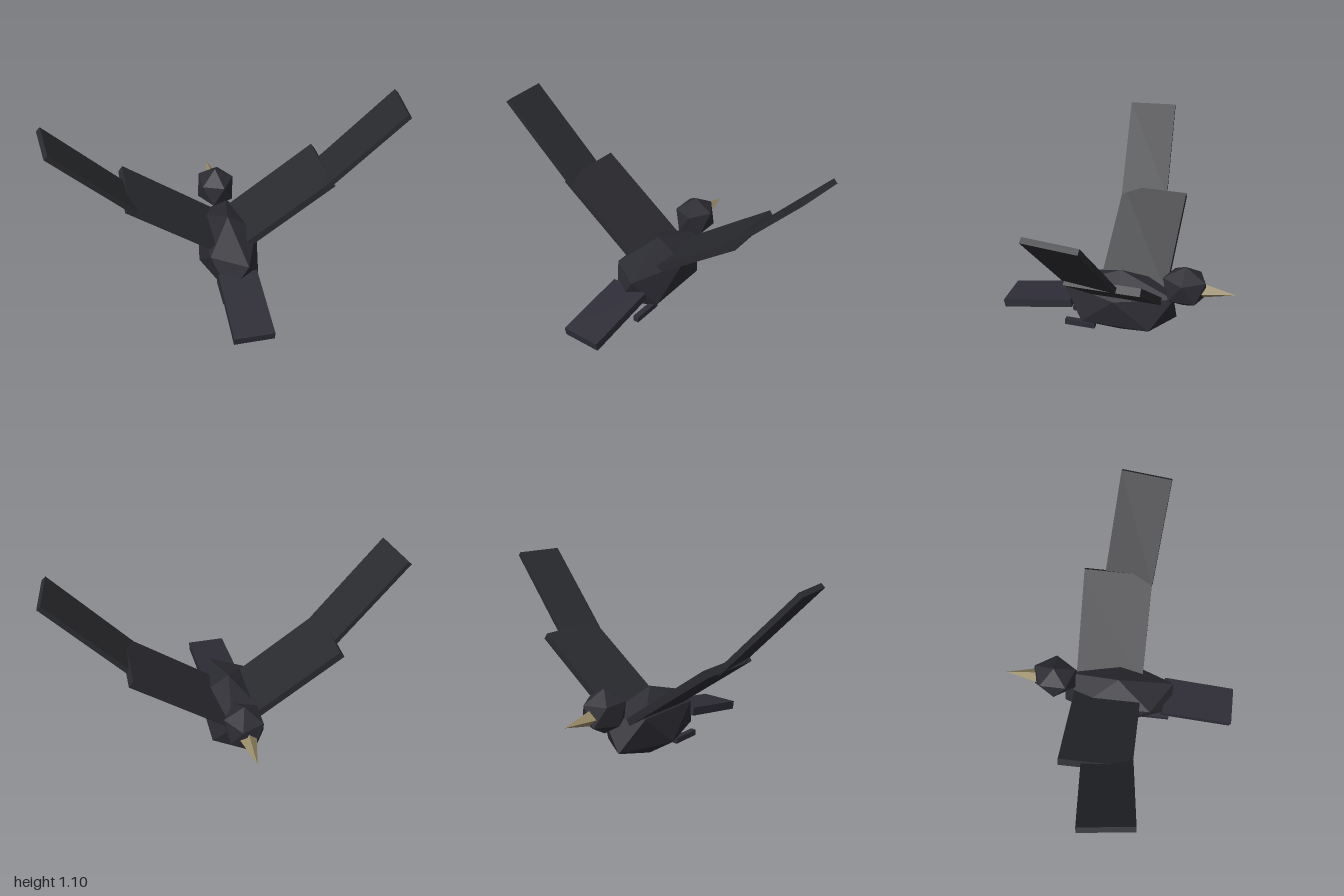
import * as THREE from 'three';
import { ConvexGeometry } from 'three/addons/geometries/ConvexGeometry.js';

const deg = THREE.MathUtils.degToRad;

function material(name, color) {
  const m = new THREE.MeshStandardMaterial({ color, flatShading: true });
  m.name = name;
  return m;
}

// Twenty-sided faceted ball standing on a vertex, stretched along each axis
function facetedBall(rx, ry, rz) {
  const points = [new THREE.Vector3(0, ry, 0), new THREE.Vector3(0, -ry, 0)];
  for (let i = 0; i < 5; i++) {
    const a = deg(72 * i);
    const x = 0.8944 * rx * Math.cos(a), z = 0.8944 * rz * Math.sin(a);
    points.push(new THREE.Vector3(x, 0.4472 * ry, z), new THREE.Vector3(-x, -0.4472 * ry, -z));
  }
  return new ConvexGeometry(points);
}

export function createModel() {
  const bird = new THREE.Group();
  bird.name = 'bird';
  const plumage = material('dark plumage', 0x2b2b32);
  const wingFeathers = material('wing feathers', 0x2a2b2f);
  const tailFeathers = material('tail feathers', 0x2e2d37);
  const horn = material('beak horn', 0x978a66);

  const add = (name, geometry, mat, x, y, z) => {
    const mesh = new THREE.Mesh(geometry, mat);
    mesh.name = name;
    mesh.position.set(x, y, z);
    bird.add(mesh);
    return mesh;
  };

  // Body and head
  add('body', facetedBall(0.196, 0.209, 0.388), plumage, 0, 0.209, -0.015);
  add('head', facetedBall(0.125, 0.13, 0.145), plumage, 0, 0.37, -0.395);

  // Four-sided beak pointing along -z
  const beak = add('beak', new THREE.ConeGeometry(0.046, 0.19, 4), horn, 0, 0.36, -0.595);
  beak.rotation.x = -Math.PI / 2;

  // Sloping tail
  const tail = add('tail', new THREE.BoxGeometry(0.226, 0.05, 0.436), tailFeathers, 0, 0.168, 0.475);
  tail.rotation.x = deg(10);

  // Raised two-part wings and tucked feet, mirrored
  for (const [side, s] of [['left', 1], ['right', -1]]) {
    const inner = add(side + 'InnerWing', new THREE.BoxGeometry(0.664, 0.043, 0.4), wingFeathers, s * 0.315, 0.47, -0.076);
    inner.rotation.z = s * deg(36.5);
    const outer = add(side + 'OuterWing', new THREE.BoxGeometry(0.62, 0.03, 0.283), wingFeathers, s * 0.761, 0.8675, 0.0125);
    outer.rotation.set(0, -s * deg(7), s * deg(47), 'YZX');
    add(side + 'Foot', new THREE.BoxGeometry(0.034, 0.034, 0.186), tailFeathers, s * 0.077, 0.053, 0.217);
  }
  return bird;
}
